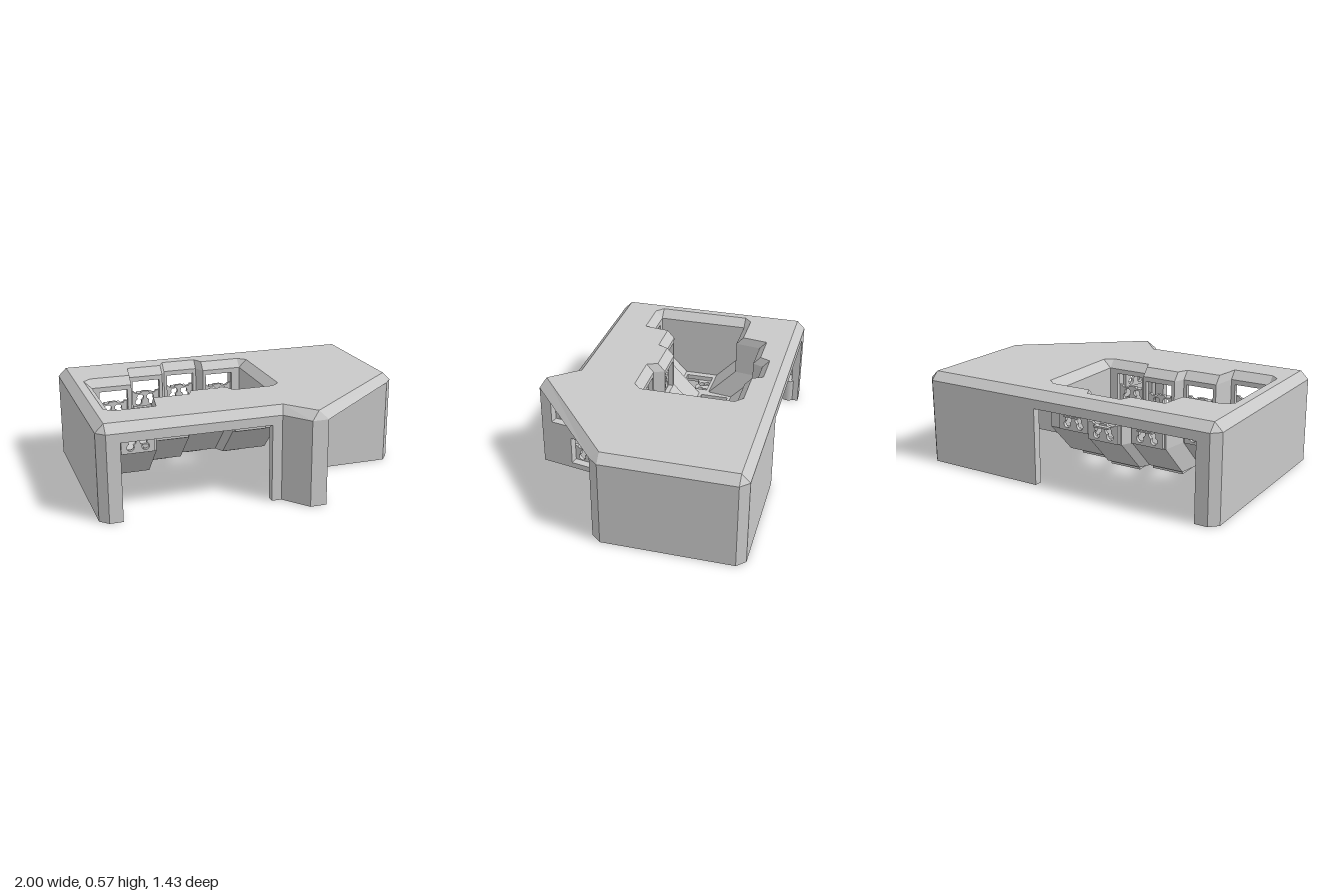
import * as THREE from 'three';

const plastic = new THREE.MeshStandardMaterial({ color: 0xc8c8c8, side: THREE.DoubleSide });
const V = (x, y, z) => new THREE.Vector3(x, y, z);
const X = V(1, 0, 0), Y = V(0, 1, 0), Z = V(0, 0, 1);
const DECK = 0.575, EAVE = 0.525, WALL = 0.05, SKIN = 0.03, KEY = 0.18;

const mesh = (name, geometry) => {
  const m = new THREE.Mesh(geometry, plastic);
  m.name = name;
  return m;
};

// Skin between two closed rings with equal point counts
function loft(name, a, b) {
  const p = [];
  a.forEach((_, i) => {
    const j = (i + 1) % a.length;
    for (const v of [a[i], a[j], b[j], a[i], b[j], b[i]]) p.push(v.x, v.y, v.z);
  });
  const g = new THREE.BufferGeometry();
  g.setAttribute('position', new THREE.Float32BufferAttribute(p, 3));
  g.computeVertexNormals();
  return mesh(name, g);
}

// Puts an object built in u, v coordinates into the model; it grows towards u x v
function place(obj, origin, u, v) {
  const m = new THREE.Matrix4().makeBasis(u, v, u.clone().cross(v)).setPosition(origin);
  obj.applyMatrix4(m);
  return obj;
}

const polygon = pts => new THREE.Shape(pts.map(([x, y]) => new THREE.Vector2(x, y)));
const extrude = (shape, depth) =>
  new THREE.ExtrudeGeometry(shape, { depth, bevelEnabled: false, curveSegments: 10 });

// Key holder: half-height bracket with two stacked-circle cutouts and a clip
function keyHolder(t) {
  const g = new THREE.Group();
  g.name = 'keyHolder';
  const s = polygon([[-0.1, -0.01], [0.1, -0.01], [0.1, 0.1], [0.075, 0.1], [0.065, 0.088],
    [0.03, 0.088], [0.02, 0.1], [-0.02, 0.1], [-0.03, 0.088], [-0.065, 0.088], [-0.075, 0.1], [-0.1, 0.1]]);
  const r = 0.022;
  for (const side of [-1, 1]) {
    const ax = side * 0.045, ay = 0.027, bx = side * 0.033, by = 0.06;
    const phi = Math.atan2(by - ay, bx - ax);
    const alpha = Math.acos(Math.hypot(bx - ax, by - ay) / 2 / r);
    const h = new THREE.Path();
    h.absarc(ax, ay, r, phi + alpha, phi - alpha + 2 * Math.PI, false);
    h.absarc(bx, by, r, phi + alpha - Math.PI, phi - alpha + Math.PI, false);
    s.holes.push(h);
  }
  const bracket = mesh('keyBracket', extrude(s, 0.022));
  bracket.position.z = t;
  const clip = mesh('keyClip', new THREE.BoxGeometry(0.1, 0.01, 0.05));
  clip.position.set(0, 0.083, t + 0.025);
  g.add(bracket, clip);
  return g;
}

// Flat panel with square key holes at [u, v] (bottom centre) and an optional notch [from, to, height]
function panel(name, u0, u1, v0, v1, t, keys = [], notch) {
  const g = new THREE.Group();
  g.name = name;
  const foot = notch ? [[notch[0], v0], [notch[0], notch[2]], [notch[1], notch[2]], [notch[1], v0]] : [];
  const s = polygon([[u0, v0], ...foot, [u1, v0], [u1, v1], [u0, v1]]);
  for (const [u, v] of keys) {
    const k = KEY / 2;
    s.holes.push(polygon([[u - k, v], [u + k, v], [u + k, v + KEY], [u - k, v + KEY]]));
    const holder = keyHolder(t);
    holder.position.set(u, v, 0);
    g.add(holder);
  }
  g.add(mesh(name + 'Plate', extrude(s, t)));
  return g;
}

// Horizontal face with a hole
function deck(name, outline, hole, y) {
  const s = polygon(outline);
  s.holes.push(polygon(hole));
  const m = mesh(name, new THREE.ShapeGeometry(s));
  return place(m, V(0, y, 0), X, Z);
}

export function createModel() {
  const model = new THREE.Group();
  model.name = 'keyboardCase';

  // Roof outlines, eave and inset top
  const eave = [[-1, -0.67], [-0.95, -0.72], [0.95, -0.72], [1, -0.67], [1, 0.11], [0.95, 0.17],
    [0.3, 0.715], [0.2, 0.715], [0.08, 0.56], [-0.95, 0.56], [-1, 0.51]];
  const top = [[-0.95, -0.67], [-0.95, -0.67], [0.95, -0.67], [0.95, -0.67], [0.95, 0.11], [0.95, 0.11],
    [0.25, 0.685], [0.25, 0.685], [0.1, 0.51], [-0.95, 0.51], [-0.95, 0.51]];
  const ring = (pts, y) => pts.map(([x, z]) => V(x, y, z));
  const unique = pts => pts.filter((p, i) => {
    const q = pts[(i + 1) % pts.length];
    return p[0] !== q[0] || p[1] !== q[1];
  });

  // Finger columns: x range, key centre, z centre
  const columns = [[-0.85, -0.6, -0.715, -0.03], [-0.575, -0.355, -0.465, -0.19],
    [-0.325, -0.105, -0.215, -0.255], [-0.075, 0.18, 0.035, -0.19]];
  const edge = d => columns.flatMap(([x0, x1, , c]) => [[x0, c + d], [x1, c + d]]);
  const wellRim = (end, half) => [[-0.85 - end, -0.32], ...edge(-half), [0.18 + end, -0.48],
    [0.18 + end, 0.1], ...edge(half).reverse(), [-0.85 - end, 0.26]];
  const rimTop = wellRim(0.05, 0.335), rimLow = wellRim(0, 0.29);

  model.add(
    deck('roofTop', unique(top), rimTop, DECK),
    deck('roofUnderside', eave, unique(rimLow), EAVE),
    loft('roofChamfer', ring(eave, EAVE), ring(top, DECK)),
    loft('wellChamfer', ring(rimTop, DECK), ring(rimLow, EAVE)));

  // Outer walls, with the thumb wall set back below the slanted roof edge
  const base = [...eave.slice(0, 6), [0.4, 0.17], ...eave.slice(6)];
  const names = { 1: 'backWall', 3: 'rightWall', 5: 'innerFrontWall', 6: 'thumbWall', 9: 'frontWall', 11: 'leftWall' };
  const notches = { 1: [0.08, 1.13, 0.47], 9: [0.06, 0.95, 0.47] };
  const thumbKeys = [[0.127, 0.3], [0.393, 0.3], [0.262, 0.035]];
  base.forEach((p, i) => {
    const q = base[(i + 1) % base.length];
    const d = V(q[0] - p[0], 0, q[1] - p[1]);
    const w = panel(names[i] || 'cornerWall', 0, d.length(), 0, EAVE, WALL, i === 6 ? thumbKeys : [], notches[i]);
    model.add(place(w, V(p[0], 0, p[1]), d.normalize(), Y));
  });

  // Cross-section of the finger well: inner line down and up, outer line back
  const inner = [[-0.29, EAVE], [-0.29, 0.315], [-0.11, 0.13], [0.11, 0.13], [0.29, 0.315], [0.29, EAVE]];
  const outer = [[-0.32, EAVE], [-0.32, 0.3], [-0.12, 0.1], [0.12, 0.1], [0.32, 0.3], [0.32, EAVE]];
  const section = [...inner, ...outer.slice().reverse()];
  const slice = (pts, x, c) => pts.map(([z, y]) => V(x, y, c + z));

  columns.forEach(([x0, x1, k, c], i) => {
    const col = new THREE.Group();
    col.name = 'fingerColumn';
    const a = x0 - k, b = x1 - k;
    col.add(
      place(panel('columnBack', -b, -a, 0.3, EAVE, SKIN, [[0, 0.315]]), V(k, 0, c - 0.29), X.clone().negate(), Y),
      place(panel('columnFront', a, b, 0.3, EAVE, SKIN, [[0, 0.315]]), V(k, 0, c + 0.29), X, Y),
      place(panel('columnFloor', a, b, -0.115, 0.115, SKIN, [[0, -0.09]]), V(k, 0.13, c), X, Z));
    for (const j of [1, 3]) {
      const slope = [inner[j], inner[j + 1], outer[j + 1], outer[j]];
      col.add(loft('columnSlope', slice(slope, x0, c), slice(slope, x1, c)));
    }
    // Step joining this column to the next
    const next = columns[i + 1];
    if (next) col.add(loft('columnStep', slice(section, x1, c), slice(section, next[0], next[3])));
    model.add(col);
  });

  // End walls of the well
  for (const [x, c] of [[-0.85, -0.03], [0.18 + SKIN, -0.19]]) {
    const end = mesh('wellEnd', extrude(polygon(outer), SKIN));
    model.add(place(end, V(x, 0, c), Z, Y));
  }

  // Screw posts
  const postProfile = [[0, 0.13], [0.022, 0.13], [0.022, 0.13], [0.022, 0], [0.022, 0], [0.045, 0],
    [0.045, 0], [0.045, 0.15], [0.045, 0.15], [0, 0.19]].map(([x, y]) => new THREE.Vector2(x, y));
  for (const [x, z] of [[-0.9, 0.43], [-0.9, -0.65], [0.91, -0.64], [0.91, 0.03]]) {
    const post = mesh('screwPost', new THREE.LatheGeometry(postProfile, 20));
    post.position.set(x, 0, z);
    model.add(post);
  }
  return model;
}
